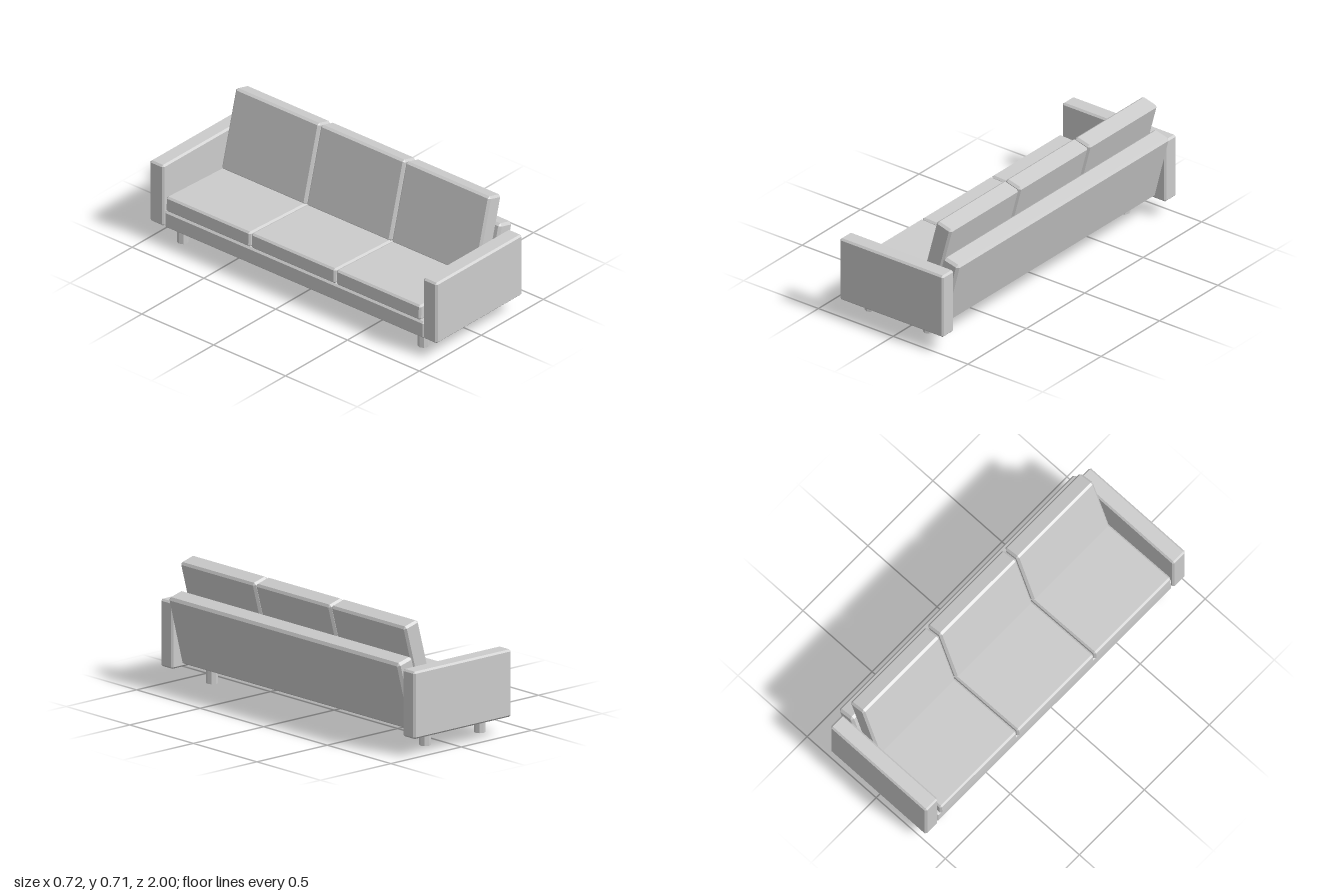
import * as THREE from 'three';
import { ConvexGeometry } from 'three/addons/geometries/ConvexGeometry.js';

const material = new THREE.MeshStandardMaterial({ color: 0xcccccc, flatShading: true });

// Box with flat chamfers on every edge: three points around each corner
function chamferBox(w, h, d, c) {
  const points = [];
  for (const sx of [-1, 1]) for (const sy of [-1, 1]) for (const sz of [-1, 1]) {
    const x = w / 2, y = h / 2, z = d / 2;
    points.push(
      new THREE.Vector3(sx * x, sy * (y - c), sz * (z - c)),
      new THREE.Vector3(sx * (x - c), sy * y, sz * (z - c)),
      new THREE.Vector3(sx * (x - c), sy * (y - c), sz * z));
  }
  return new ConvexGeometry(points);
}

export function createModel() {
  const sofa = new THREE.Group();
  sofa.name = 'sofa';

  const add = (name, geometry, x, y, z, tilt = 0) => {
    const mesh = new THREE.Mesh(geometry, material);
    mesh.name = name;
    mesh.position.set(x, y, z);
    mesh.rotation.z = -THREE.MathUtils.degToRad(tilt);
    sofa.add(mesh);
  };

  // Base slab between the arms
  add('base', chamferBox(0.525, 0.1, 1.81, 0.01), -0.09, 0.143, 0);

  // Leaning back panel
  add('backPanel', chamferBox(0.105, 0.396, 1.816, 0.014), 0.264, 0.319, 0, 14.5);

  // Arms
  const arm = chamferBox(0.693, 0.368, 0.096, 0.01);
  for (const side of [-1, 1]) add('arm', arm, -0.0135, 0.284, side * 0.952);

  // Three seat cushions and three back cushions
  const seat = chamferBox(0.56, 0.088, 0.587, 0.01);
  const back = chamferBox(0.102, 0.46, 0.587, 0.012);
  for (const i of [-1, 0, 1]) {
    add('seatCushion', seat, -0.082, 0.234, i * 0.593, 2.5);
    add('backCushion', back, 0.19, 0.473, i * 0.593, 15);
  }

  // Eight-sided legs
  const leg = new THREE.CylinderGeometry(0.031, 0.031, 0.1, 8);
  for (const x of [-0.278, 0.111]) for (const side of [-1, 1]) add('leg', leg, x, 0.05, side * 0.838);

  return sofa;
}
